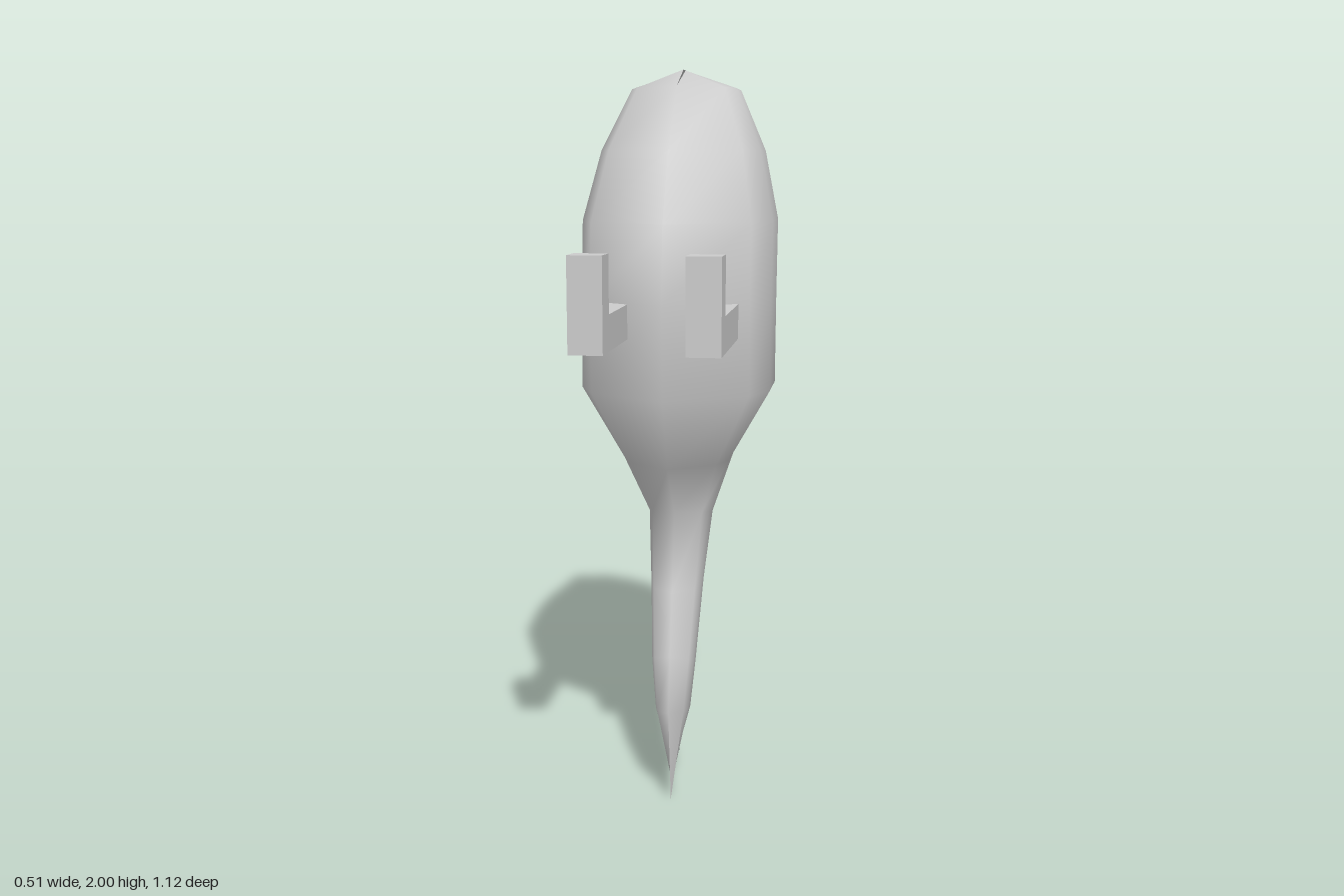
import * as THREE from 'three';
import { mergeVertices } from 'three/addons/utils/BufferGeometryUtils.js';

// Half cross-section, front ridge to back ridge:
// [position from colour line (+ front, - back), fraction of half width]
const SECTION = [[1, 0], [0.68, 0.82], [0.42, 1], [0, 1], [-0.82, 0.8], [-1, 0]];

// Lofts mirrored cross-sections, top to bottom.
// Ring: [front y, front z, colour line y, z, back y, z, half width]
function loft(rings) {
  const pos = [], light = [], dark = [];
  for (const [yf, zf, ys, zs, yb, zb, w] of rings) {
    const half = SECTION.map(([t, x]) => {
      const a = Math.abs(t), y = t > 0 ? yf : yb, z = t > 0 ? zf : zb;
      return [x * w, ys + (y - ys) * a, zs + (z - zs) * a];
    });
    const mirrored = half.slice(1, -1).reverse().map(([x, y, z]) => [-x, y, z]);
    pos.push(...[...half, ...mirrored].flat());
  }
  const n = 10;
  for (let i = 0; i < rings.length - 1; i++) {
    for (let j = 0; j < n; j++) {
      const k = (j + 1) % n;
      const a = i * n + j, b = i * n + k, c = a + n, d = b + n;
      (j < 3 || j > 6 ? light : dark).push(a, c, b, b, c, d);
    }
  }
  let geo = new THREE.BufferGeometry();
  geo.setAttribute('position', new THREE.Float32BufferAttribute(pos, 3));
  geo.setIndex([...light, ...dark]);
  geo = mergeVertices(geo, 1e-4);
  geo.addGroup(0, light.length, 0);
  geo.addGroup(light.length, dark.length, 1);
  geo.computeVertexNormals();
  return geo;
}

export function createModel() {
  const model = new THREE.Group();
  const mat = (name, color) => {
    const m = new THREE.MeshStandardMaterial({ color });
    m.name = name;
    return m;
  };
  const belly = mat('light grey', 0xcccccc);
  const back = mat('dark grey', 0x6c6c6c);
  const black = mat('black', 0x080808);
  const rim = mat('eye rim grey', 0xa8a8a8);
  const add = (name, geo, material) => {
    const m = new THREE.Mesh(geo, material);
    m.name = name;
    model.add(m);
    return m;
  };

  // Body running down into the forked tail
  add('body', loft([
    [2, -0.1, 2, -0.23, 2, -0.34, 0],
    [1.95, 0.03, 1.95, -0.225, 1.95, -0.465, 0.145],
    [1.785, 0.18, 1.785, -0.205, 1.785, -0.55, 0.217],
    [1.6, 0.28, 1.6, -0.16, 1.6, -0.56, 0.257],
    [1.4, 0.306, 1.385, -0.13, 1.37, -0.545, 0.257],
    [1.15, 0.29, 1.15, -0.115, 1.15, -0.495, 0.257],
    [0.955, 0.2, 0.95, -0.085, 0.93, -0.38, 0.145],
    [0.81, 0.08, 0.775, -0.1, 0.765, -0.285, 0.085],
    [0.59, 0.125, 0.6, -0.02, 0.555, -0.085, 0.07],
    [0.42, 0.163, 0.38, 0.065, 0.415, 0.01, 0.058],
    [0.27, 0.193, 0.25, 0.075, 0.25, -0.005, 0.045],
    [0, 0.148, 0.13, 0.075, 0.07, -0.025, 0],
  ]), [belly, back]);

  // Small fin behind the tail root
  add('backFin', loft([
    [0.85, -0.15, 0.87, -0.21, 0.84, -0.3, 0.03],
    [0.71, -0.1, 0.73, -0.2, 0.765, -0.285, 0.05],
    [0.5, -0.115, 0.52, -0.2, 0.53, -0.28, 0.045],
    [0.365, -0.195, 0.4, -0.235, 0.45, -0.275, 0],
  ]), [back, back]);

  // L-shaped arms reaching forward, drawn in z and y
  const arm = new THREE.Shape([
    [0.185, 1.305], [0.565, 1.305], [0.565, 1.54], [0.485, 1.54], [0.485, 1.395], [0.185, 1.395],
  ].map(([z, y]) => new THREE.Vector2(z, y)));
  const armGeo = new THREE.ExtrudeGeometry(arm, { depth: 0.085, bevelEnabled: false });
  armGeo.rotateY(-Math.PI / 2);

  // Arms and eyes on both sides
  for (const [side, s] of [['left', 1], ['right', -1]]) {
    add(side + 'Arm', armGeo, belly).position.x = s > 0 ? 0.183 : -0.098;

    const normal = new THREE.Vector3(s, 0.2, -0.154).normalize();
    const centre = new THREE.Vector3(s * 0.217, 1.69, -0.302);
    for (const [part, r, lift, m] of [['EyeRim', 0.047, 0.004, rim], ['Eye', 0.039, 0.007, black]]) {
      const disc = add(side + part, new THREE.CircleGeometry(r, 24), m);
      disc.position.copy(centre).addScaledVector(normal, lift);
      disc.quaternion.setFromUnitVectors(new THREE.Vector3(0, 0, 1), normal);
    }
  }
  return model;
}
